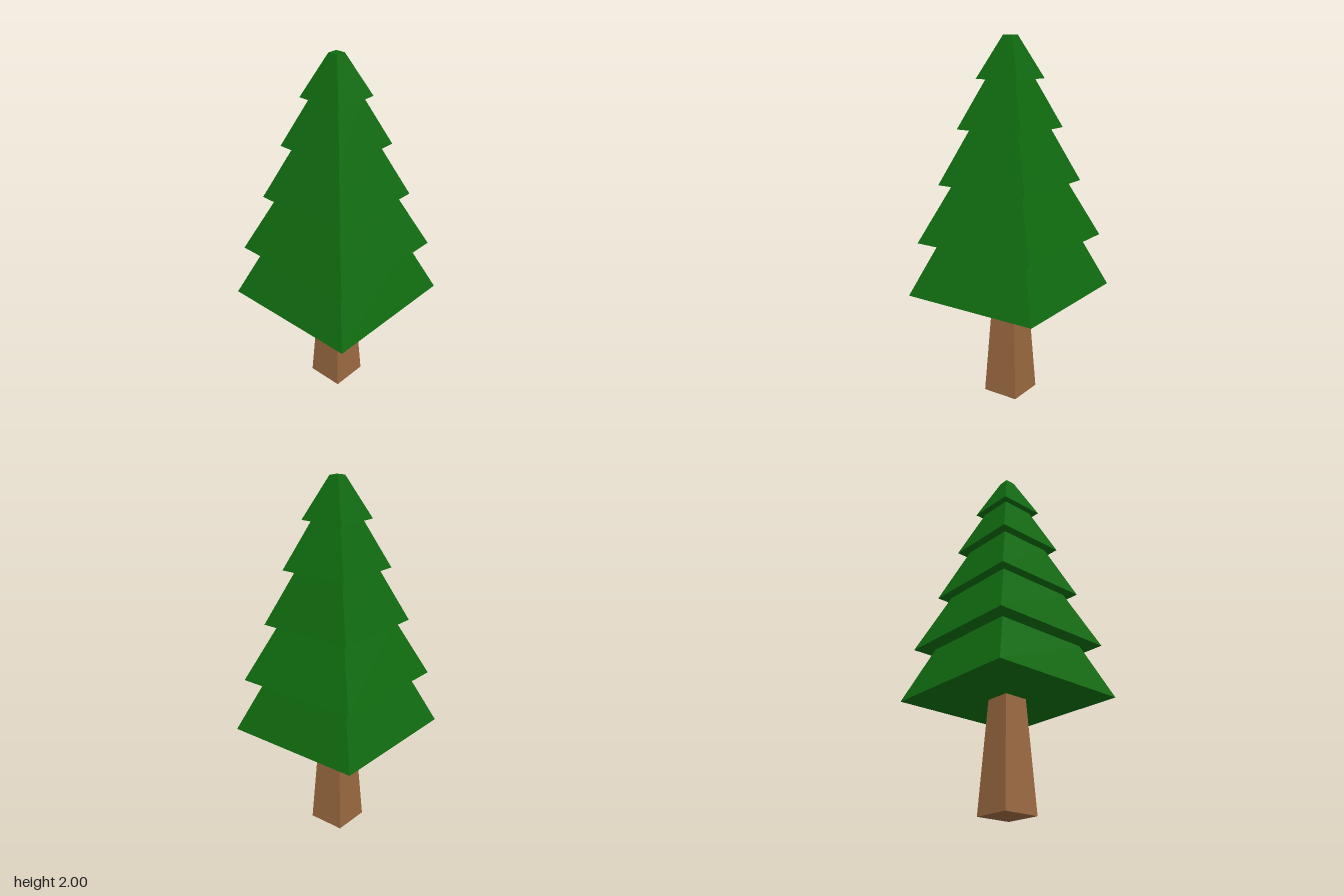
import * as THREE from 'three';

// Square frustum given by half-widths and heights of its two ends
function frustum(name, material, bottomHalf, topHalf, y0, y1) {
  const geometry = new THREE.CylinderGeometry(topHalf * Math.SQRT2, bottomHalf * Math.SQRT2, y1 - y0, 4);
  geometry.rotateY(Math.PI / 4);
  geometry.translate(0, (y0 + y1) / 2, 0);
  const flat = geometry.toNonIndexed();
  flat.computeVertexNormals();
  const mesh = new THREE.Mesh(flat, material);
  mesh.name = name;
  return mesh;
}

export function createModel() {
  const bark = new THREE.MeshStandardMaterial({ color: 0x996840 });
  bark.name = 'bark brown';
  const needles = new THREE.MeshStandardMaterial({ color: 0x0f6a0f });
  needles.name = 'needle green';

  const tree = new THREE.Group();
  tree.name = 'pineTree';

  // Tapered trunk
  tree.add(frustum('trunk', bark, 0.106, 0.07, 0, 0.608));

  // Foliage tiers: bottom half-width, top half-width, bottom height
  const tiers = [
    [0.402, 0.278, 0.608],
    [0.362, 0.223, 0.906],
    [0.277, 0.154, 1.223],
    [0.203, 0.093, 1.518],
    [0.13, 0.028, 1.778],
  ];
  const foliage = new THREE.Group();
  foliage.name = 'foliage';
  tiers.forEach(([bottom, top, y], i) => {
    const yTop = i + 1 < tiers.length ? tiers[i + 1][2] : 2;
    foliage.add(frustum(`foliageTier${i + 1}`, needles, bottom, top, y, yTop));
  });
  tree.add(foliage);
  return tree;
}
